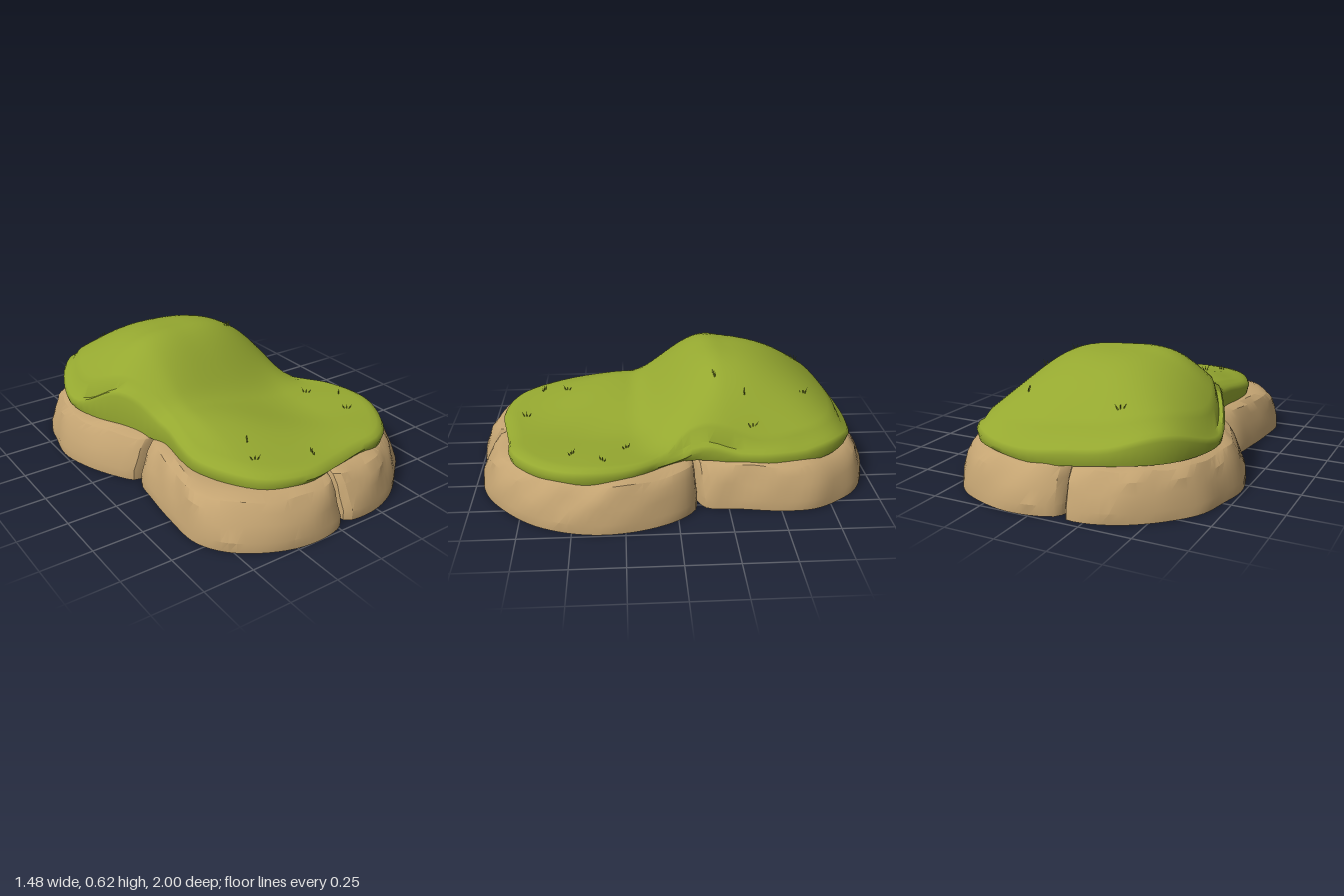
import * as THREE from 'three';
import { toCreasedNormals } from 'three/addons/utils/BufferGeometryUtils.js';

const V = (x, y, z) => new THREE.Vector3(x, y, z);
const step = (a, b, v) => {
  const t = THREE.MathUtils.clamp((v - a) / (b - a), 0, 1);
  return t * t * (3 - 2 * t);
};
const bump = (x, y, z) =>
  Math.sin(x * 17 + z * 9 + y * 13) * 0.5 + Math.sin(z * 23 - x * 14 + y * 31 + 1) * 0.5;

// Skin rows of points, leaving out triangles that collapse at a centre
function loft(rows, crease) {
  const pos = [];
  const tri = (a, b, c) => {
    if (a.distanceTo(b) < 1e-6 || b.distanceTo(c) < 1e-6 || c.distanceTo(a) < 1e-6) return;
    for (const p of [a, b, c]) pos.push(p.x, p.y, p.z);
  };
  for (let j = 0; j < rows.length - 1; j++) {
    for (let i = 0; i < rows[j].length - 1; i++) {
      const a = rows[j][i], b = rows[j][i + 1], c = rows[j + 1][i + 1], d = rows[j + 1][i];
      tri(a, b, c);
      tri(a, c, d);
    }
  }
  const g = new THREE.BufferGeometry();
  g.setAttribute('position', new THREE.Float32BufferAttribute(pos, 3));
  return toCreasedNormals(g, crease);
}

const curve = (pts, closed, n) =>
  new THREE.CatmullRomCurve3(pts.map(([x, z]) => V(x, 0, z)), closed, 'centripetal').getSpacedPoints(n);

// Pull an outline point towards the middle by a distance, then scale it
const inset = (p, d, k = 1) => p.clone().multiplyScalar(k * (p.length() - d) / p.length());

// Outer edge of each stone, from crack to crack
const STONES = {
  frontLeftStone: [[0.05, 0.9], [0.07, 0.955], [0.2, 0.97], [0.35, 0.93], [0.5, 0.83], [0.64, 0.68],
    [0.72, 0.5], [0.74, 0.33], [0.7, 0.13], [0.62, -0.02], [0.54, -0.09], [0.46, -0.1]],
  backLeftStone: [[0.46, -0.1], [0.53, -0.14], [0.55, -0.3], [0.58, -0.5], [0.57, -0.66], [0.5, -0.79],
    [0.4, -0.9], [0.25, -0.97], [0.1, -1], [-0.05, -0.98], [-0.12, -0.945], [-0.14, -0.89]],
  backRightStone: [[-0.14, -0.89], [-0.16, -0.955], [-0.25, -0.96], [-0.4, -0.91], [-0.55, -0.8],
    [-0.67, -0.65], [-0.71, -0.5], [-0.74, -0.33], [-0.7, -0.15], [-0.62, 0.02], [-0.56, 0.1], [-0.49, 0.1]],
  frontRightStone: [[-0.49, 0.1], [-0.55, 0.14], [-0.58, 0.3], [-0.6, 0.5], [-0.6, 0.7], [-0.53, 0.83],
    [-0.4, 0.93], [-0.25, 0.99], [-0.1, 1], [0.02, 0.965], [0.05, 0.9]],
};

function stoneGeometry(pts) {
  const edge = curve(pts, false, 40);
  // inset, height and roughness of each row
  const profile = [[0, 0, 0], [-0.003, 0.05, 0.005], [0.02, 0.115, 0.01], [0.04, 0.165, 0.01],
    [0.075, 0.205, 0.008], [0.13, 0.225, 0.005], [0.2, 0.225, 0]];
  const rows = profile.map(([d, y, n]) => edge.map((p, i) => {
    const rough = i > 1 && i < 39 ? n * (1 + bump(p.x, y, p.z)) : n;
    return inset(p, d + rough).setY(y + (y > 0.1 ? n * bump(p.z, y, p.x) * 0.9 : 0));
  }));
  rows.unshift(edge.map(() => V(0, 0, 0)));
  rows.push(edge.map(() => V(0, 0.225, 0)));
  return loft(rows, 0.5);
}

const TURF = [[-0.07, 0.88], [0.1, 0.85], [0.25, 0.82], [0.4, 0.8], [0.52, 0.71], [0.62, 0.55], [0.65, 0.4],
  [0.62, 0.22], [0.54, 0.08], [0.47, -0.05], [0.46, -0.15], [0.48, -0.3], [0.5, -0.45], [0.48, -0.62],
  [0.42, -0.77], [0.3, -0.87], [0.1, -0.91], [-0.12, -0.89], [-0.35, -0.84], [-0.52, -0.72], [-0.62, -0.55],
  [-0.65, -0.4], [-0.62, -0.25], [-0.54, -0.08], [-0.48, 0.08], [-0.46, 0.22], [-0.48, 0.4], [-0.48, 0.52],
  [-0.42, 0.67], [-0.32, 0.8], [-0.2, 0.86]];

// Height of the turf: tall hill at the back, low sloping shelf in front
function turfHeight(x, z) {
  const across = 1 - Math.min(1, Math.abs((x + 0.09) / 0.57)) ** 2.7;
  const along = z < -0.24 ? Math.max(0, 1 - ((z + 0.24) / 0.67) ** 2) : 1 - step(-0.24, 0.22, z);
  const shelf = 0.1 * (1 - step(-0.3, 0.32, x)) * (1 - 0.45 * step(-0.3, -0.5, x))
    * (1 - step(0.2, 0.92, z)) * step(-0.3, 0.1, z);
  return 0.275 + 0.34 * across * along + shelf + 0.005 * bump(x * 0.6, 0, z * 0.6);
}

function turfGeometry() {
  const edge = curve(TURF, true, 110);
  const bottom = (p) => 0.215 + 0.012 * Math.sin(p.x * 9 + p.z * 5 + 3);
  const rows = [
    edge.map((p) => inset(p, 0.1).setY(0.2)),
    edge.map((p) => inset(p, 0.012).setY(bottom(p))),
  ];
  // rounded rim: inset and drop below the surface
  for (const [d, drop] of [[0, 0.035], [0.012, 0.012], [0.04, 0]]) {
    rows.push(edge.map((p) => inset(p, d).setY(turfHeight(p.x, p.z) - drop)));
  }
  // surface rings running in to the middle
  for (let k = 23; k >= 0; k--) {
    rows.push(edge.map((p) => {
      const q = inset(p, 0.04, k / 24);
      return q.setY(turfHeight(q.x, q.z));
    }));
  }
  return loft(rows, 0.9);
}

// Small tufts of grass blades
const TUFTS = [[0.29, -0.34], [0.41, -0.37], [0.2, -0.2], [0.2, -0.65], [-0.3, -0.7], [0.41, 0.24],
  [0.54, 0.35], [0.46, 0.5], [-0.21, 0.55], [-0.26, 0.68], [0.02, 0.75]];

export function createModel() {
  const stone = new THREE.MeshStandardMaterial({ color: 0xc4a472 });
  stone.name = 'sandstone';
  const grass = new THREE.MeshStandardMaterial({ color: 0x95a830 });
  grass.name = 'grass green';

  const model = new THREE.Group();
  model.name = 'grassyMound';
  const add = (name, geometry, material, parent = model) => {
    const mesh = new THREE.Mesh(geometry, material);
    mesh.name = name;
    parent.add(mesh);
    return mesh;
  };

  for (const [name, pts] of Object.entries(STONES)) add(name, stoneGeometry(pts), stone);
  add('turf', turfGeometry(), grass);

  const blade = new THREE.ConeGeometry(0.004, 0.034, 3).translate(0, 0.012, 0);
  TUFTS.forEach(([x, z], i) => {
    const tuft = new THREE.Group();
    tuft.name = 'grassTuft';
    tuft.position.set(x, turfHeight(x, z), z);
    tuft.rotation.y = i * 1.7;
    for (let k = -1; k <= 1; k++) {
      const b = add('grassBlade', blade, grass, tuft);
      b.position.x = k * 0.013;
      b.rotation.z = -k * 0.5;
    }
    model.add(tuft);
  });
  return model;
}
